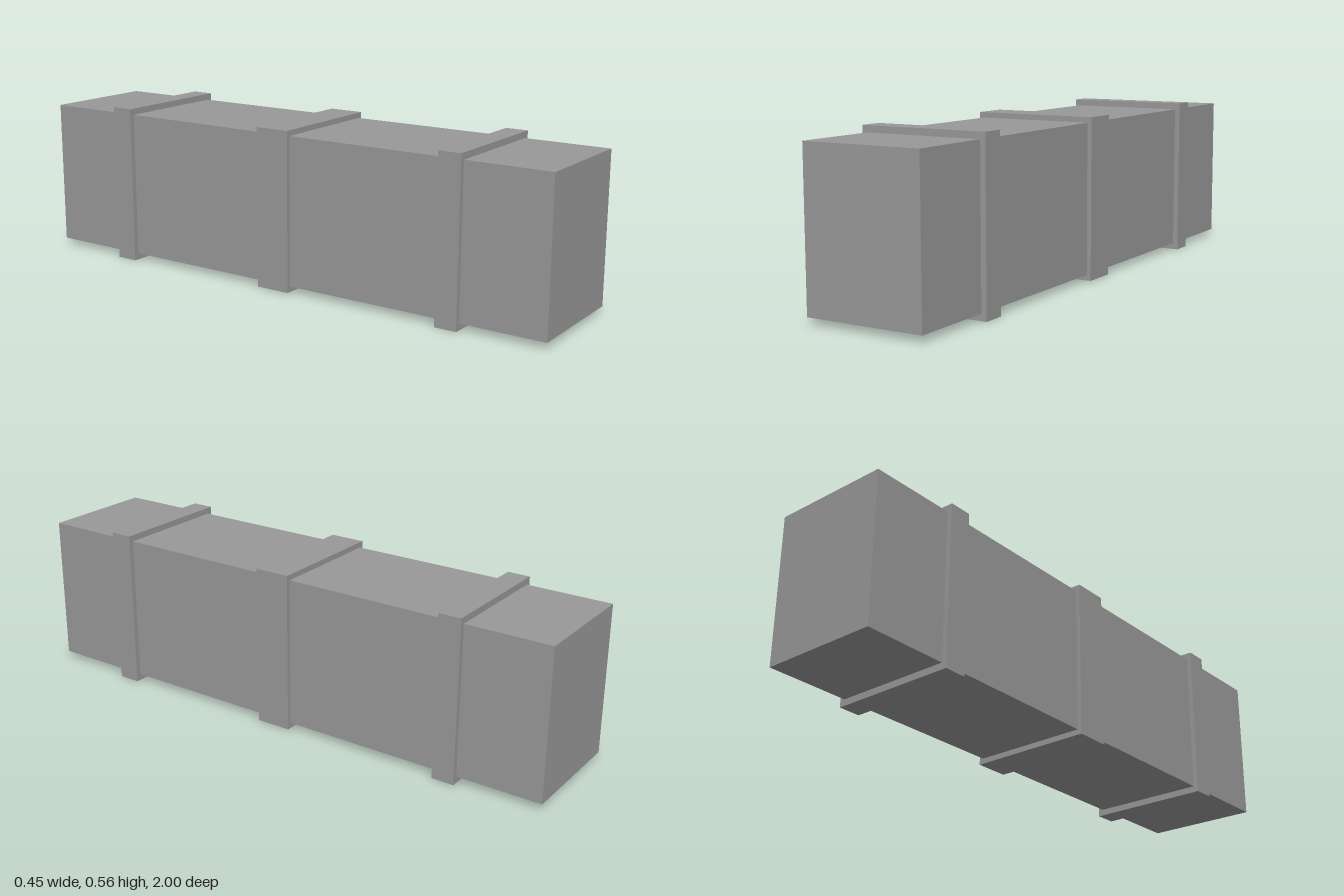
import * as THREE from 'three';

export function createModel() {
  const model = new THREE.Group();
  const material = new THREE.MeshStandardMaterial({ color: 0x999999, flatShading: true });
  const midY = 0.28;

  function addBox(name, width, height, depth, z) {
    const mesh = new THREE.Mesh(new THREE.BoxGeometry(width, height, depth), material);
    mesh.name = name;
    mesh.position.set(0, midY, z);
    model.add(mesh);
  }

  // Long rectangular beam
  addBox('beam', 0.412, 0.515, 2, 0);

  // Wide band around the middle
  addBox('middleBand', 0.442, 0.553, 0.125, 0);

  // Slightly thicker, narrower bands towards both ends
  addBox('frontBand', 0.448, 0.56, 0.078, 0.667);
  addBox('backBand', 0.448, 0.56, 0.078, -0.667);

  return model;
}
